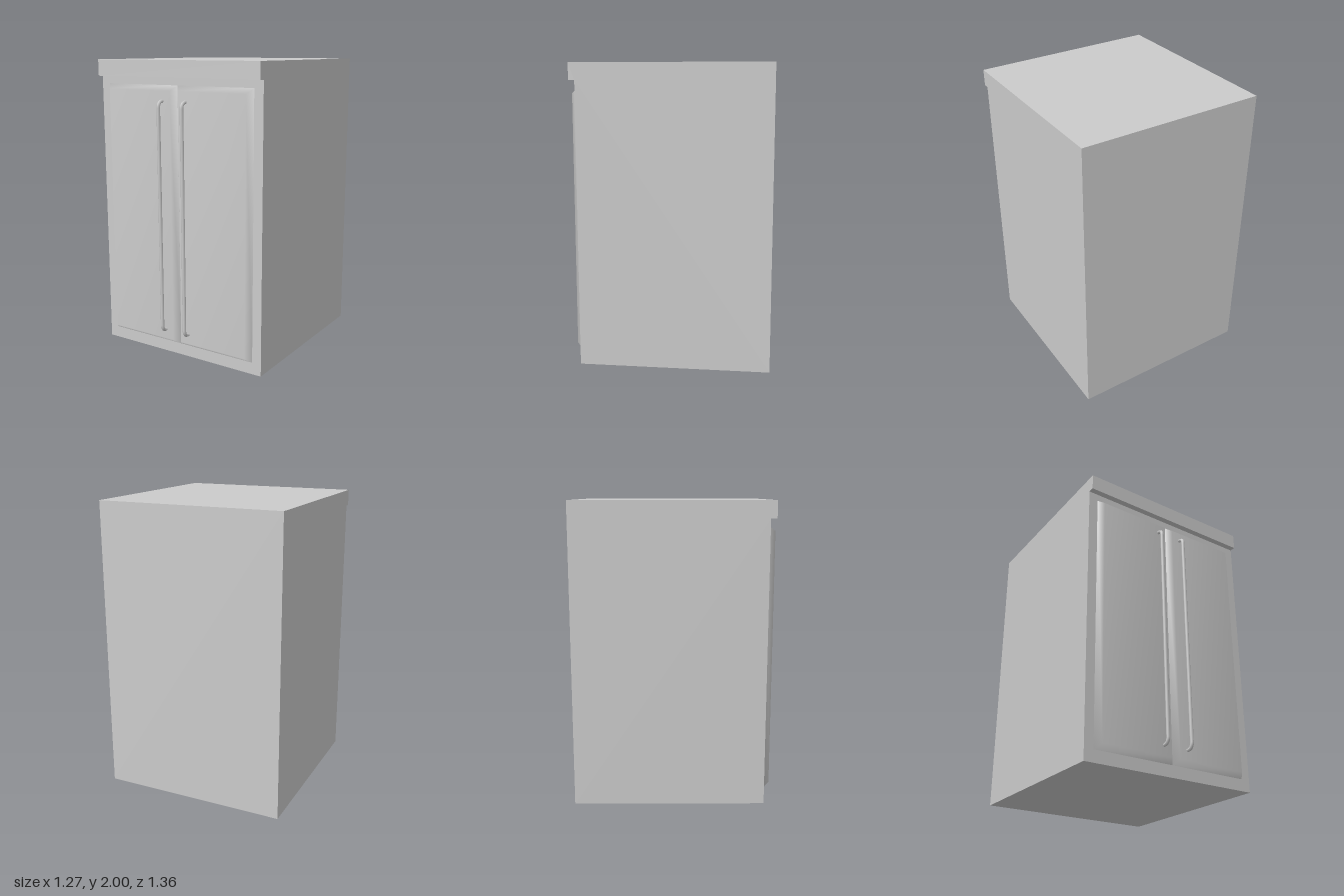
import * as THREE from 'three';

const material = new THREE.MeshStandardMaterial({ color: 0xcccccc });

// Cabinet body: side profile with an overhanging top lip, extruded across the width
function createBody(halfWidth) {
  const profile = new THREE.Shape([
    [-0.585, 0], [0.68, 0], [0.68, 2], [-0.625, 2], [-0.625, 1.89], [-0.585, 1.89],
  ].map(([x, y]) => new THREE.Vector2(x, y)));
  const geometry = new THREE.ExtrudeGeometry(profile, { depth: halfWidth * 2, bevelEnabled: false });
  geometry.translate(0, 0, -halfWidth);
  geometry.rotateY(Math.PI / 2); // profile x becomes -z
  return geometry;
}

// Door panel: a shallow frustum whose shared corners give a soft, pillowed shading
function createDoor(width, height, depth, inset) {
  const positions = [];
  for (const [z, d] of [[0, 0], [depth, inset]]) {
    const x = width / 2 - d, y = height / 2 - d;
    positions.push(-x, -y, z, x, -y, z, x, y, z, -x, y, z);
  }
  const index = [4, 5, 6, 4, 6, 7];
  for (let i = 0; i < 4; i++) {
    const j = (i + 1) % 4;
    index.push(i, j, j + 4, i, j + 4, i + 4);
  }
  const geometry = new THREE.BufferGeometry();
  geometry.setAttribute('position', new THREE.Float32BufferAttribute(positions, 3));
  geometry.setIndex(index);
  geometry.computeVertexNormals();
  return geometry;
}

// Handle: long bar whose rounded ends turn back into the door
function createHandle(bottom, top, back, front, bend, radius) {
  const v = (y, z) => new THREE.Vector3(0, y, z);
  const path = new THREE.CurvePath();
  path.add(new THREE.LineCurve3(v(bottom, back), v(bottom, front - bend)));
  path.add(new THREE.QuadraticBezierCurve3(v(bottom, front - bend), v(bottom, front), v(bottom + bend, front)));
  path.add(new THREE.LineCurve3(v(bottom + bend, front), v(top - bend, front)));
  path.add(new THREE.QuadraticBezierCurve3(v(top - bend, front), v(top, front), v(top, front - bend)));
  path.add(new THREE.LineCurve3(v(top, front - bend), v(top, back)));
  return new THREE.TubeGeometry(path, 160, radius, 6);
}

export function createModel() {
  const model = new THREE.Group();
  model.name = 'cabinet';

  const add = (name, geometry, x = 0, y = 0, z = 0) => {
    const mesh = new THREE.Mesh(geometry, material);
    mesh.name = name;
    mesh.position.set(x, y, z);
    model.add(mesh);
  };

  add('body', createBody(0.635));

  // Mirrored pair of doors with handles beside the centre line
  const door = createDoor(0.57, 1.76, 0.043, 0.033);
  const handle = createHandle(0.18, 1.74, 0.615, 0.67, 0.042, 0.012);
  for (const [side, s] of [['left', 1], ['right', -1]]) {
    add(side + 'Door', door, s * 0.285, 0.96, 0.585);
    add(side + 'Handle', handle, s * 0.092);
  }
  return model;
}
